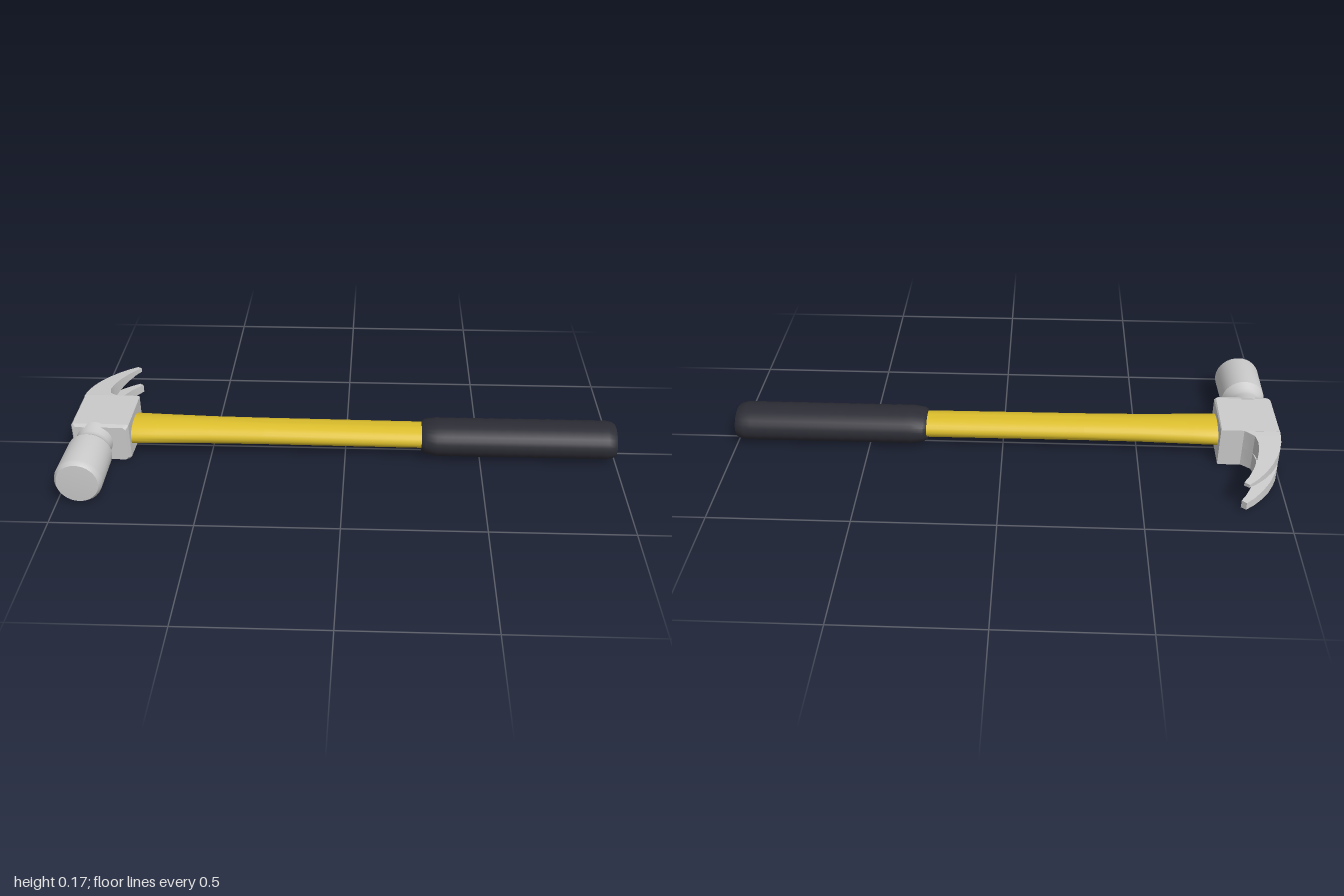
import * as THREE from 'three';
import { toCreasedNormals } from 'three/addons/utils/BufferGeometryUtils.js';

// Skin a list of rings (counter-clockwise seen from the far end), with both ends capped
function loft(rings, crease = 0.6) {
  const n = rings[0].length, index = [];
  for (let r = 0; r < rings.length - 1; r++) {
    for (let i = 0; i < n; i++) {
      const a = r * n + i, b = r * n + (i + 1) % n;
      index.push(a, b, b + n, a, b + n, a + n);
    }
  }
  const last = (rings.length - 1) * n;
  for (let i = 1; i < n - 1; i++) {
    index.push(0, i + 1, i);
    index.push(last, last + i, last + i + 1);
  }
  const geo = new THREE.BufferGeometry();
  geo.setAttribute('position', new THREE.Float32BufferAttribute(rings.flat(2), 3));
  geo.setIndex(index);
  return toCreasedNormals(geo, crease);
}

// Elliptical ring across the x axis
function oval([x, y, z, ry, rz], sides = 28) {
  return Array.from({ length: sides }, (_, i) => {
    const a = (i / sides) * Math.PI * 2;
    return [x, y + ry * Math.cos(a), z + rz * Math.sin(a)];
  });
}

// Rectangular ring across the z axis with cut corners
function block([z, x0, x1, y0, y1, c]) {
  return [
    [x0 + c, y0, z], [x1 - c, y0, z], [x1, y0 + c, z], [x1, y1 - c, z],
    [x1 - c, y1, z], [x0 + c, y1, z], [x0, y1 - c, z], [x0, y0 + c, z],
  ];
}

export function createModel() {
  const model = new THREE.Group();
  const steel = new THREE.MeshStandardMaterial({ color: 0xcbcbcb });
  const yellow = new THREE.MeshStandardMaterial({ color: 0xdcbe2c });
  const rubber = new THREE.MeshStandardMaterial({ color: 0x2c2c35 });
  steel.name = 'steel';
  yellow.name = 'yellow';
  rubber.name = 'rubber';

  const add = (name, geo, mat, parent = model) => {
    const mesh = new THREE.Mesh(geo, mat);
    mesh.name = name;
    parent.add(mesh);
    return mesh;
  };

  // Handle shaft, flaring into the head and showing at its far side
  add('handle', loft([
    [-1.002, 0.08, 0.006, 0.038, 0.056],
    [-0.97, 0.08, 0.006, 0.038, 0.056],
    [-0.8, 0.081, 0.007, 0.044, 0.083],
    [-0.7, 0.08, 0.007, 0.044, 0.077],
    [-0.5, 0.079, 0.007, 0.042, 0.069],
    [-0.3, 0.078, 0.007, 0.041, 0.067],
    [0.32, 0.075, 0.008, 0.04, 0.067],
  ].map((s) => oval(s))), yellow);

  // Rubber grip with shallow ripples and bevelled ends
  const grip = [[0.283, 0.072, 0.01, 0.049, 0.072], [0.295, 0.072, 0.01, 0.056, 0.082]];
  for (let i = 0; i <= 24; i++) {
    const ripple = i % 2 ? 0.0015 : 0;
    grip.push([0.34 + i * 0.026, 0.07, 0.011, 0.066 - ripple, 0.087 - ripple]);
  }
  grip.push([0.99, 0.07, 0.011, 0.06, 0.08], [0.998, 0.07, 0.011, 0.054, 0.073]);
  add('grip', loft(grip.map((s) => oval(s))), rubber);

  const head = new THREE.Group();
  head.name = 'head';
  model.add(head);

  // Central block around the handle
  add('headBlock', loft([
    [-0.108, -1, -0.79, 0.003, 0.152, 0.003],
    [0.105, -1, -0.79, 0.01, 0.156, 0.006],
    [0.122, -0.992, -0.798, 0.014, 0.151, 0.01],
  ].map(block), 0.3), steel, head);

  // Round neck and striking poll
  const profile = [
    [0, 0.1], [0.07, 0.1], [0.066, 0.128], [0.061, 0.15], [0.061, 0.165],
    [0.067, 0.178], [0.081, 0.2], [0.084, 0.372], [0.083, 0.378], [0.074, 0.392], [0, 0.396],
  ].map(([r, z]) => new THREE.Vector2(r, z));
  const poll = new THREE.LatheGeometry(profile, 32);
  poll.rotateX(Math.PI / 2);
  add('poll', toCreasedNormals(poll, 0.5), steel, head).position.set(-0.916, 0.091, 0);

  // Curved claw: stations of outer x, z and inner x, z
  const stations = [
    [-1, -0.1, -0.86, -0.1],
    [-0.999, -0.13, -0.884, -0.115],
    [-0.995, -0.165, -0.907, -0.135],
    [-0.985, -0.205, -0.914, -0.17],
    [-0.971, -0.24, -0.911, -0.21],
    [-0.948, -0.285, -0.898, -0.26],
    [-0.918, -0.328, -0.879, -0.31],
    [-0.885, -0.365, -0.858, -0.35],
    [-0.854, -0.392, -0.838, -0.378],
  ];
  const taper = (z) => (-z - 0.1) / 0.29;
  const top = (z) => 0.152 - 0.032 * taper(z);
  const bottom = (z) => 0.003 + 0.011 * taper(z);
  const slot = (z) => 0.033 * Math.pow(THREE.MathUtils.clamp((-z - 0.145) / 0.245, 0, 1), 0.85);
  const upperEdge = (z) => 0.075 + slot(z);
  const lowerEdge = (z) => 0.075 - slot(z);

  const prong = (low, high) => loft(stations.map(([ox, oz, ix, iz]) => [
    [ox, low(oz), oz], [ox, high(oz), oz], [ix, high(iz), iz], [ix, low(iz), iz],
  ]), 0.6);
  add('upperProng', prong(upperEdge, top), steel, head);
  add('lowerProng', prong(bottom, lowerEdge), steel, head);

  return model;
}
